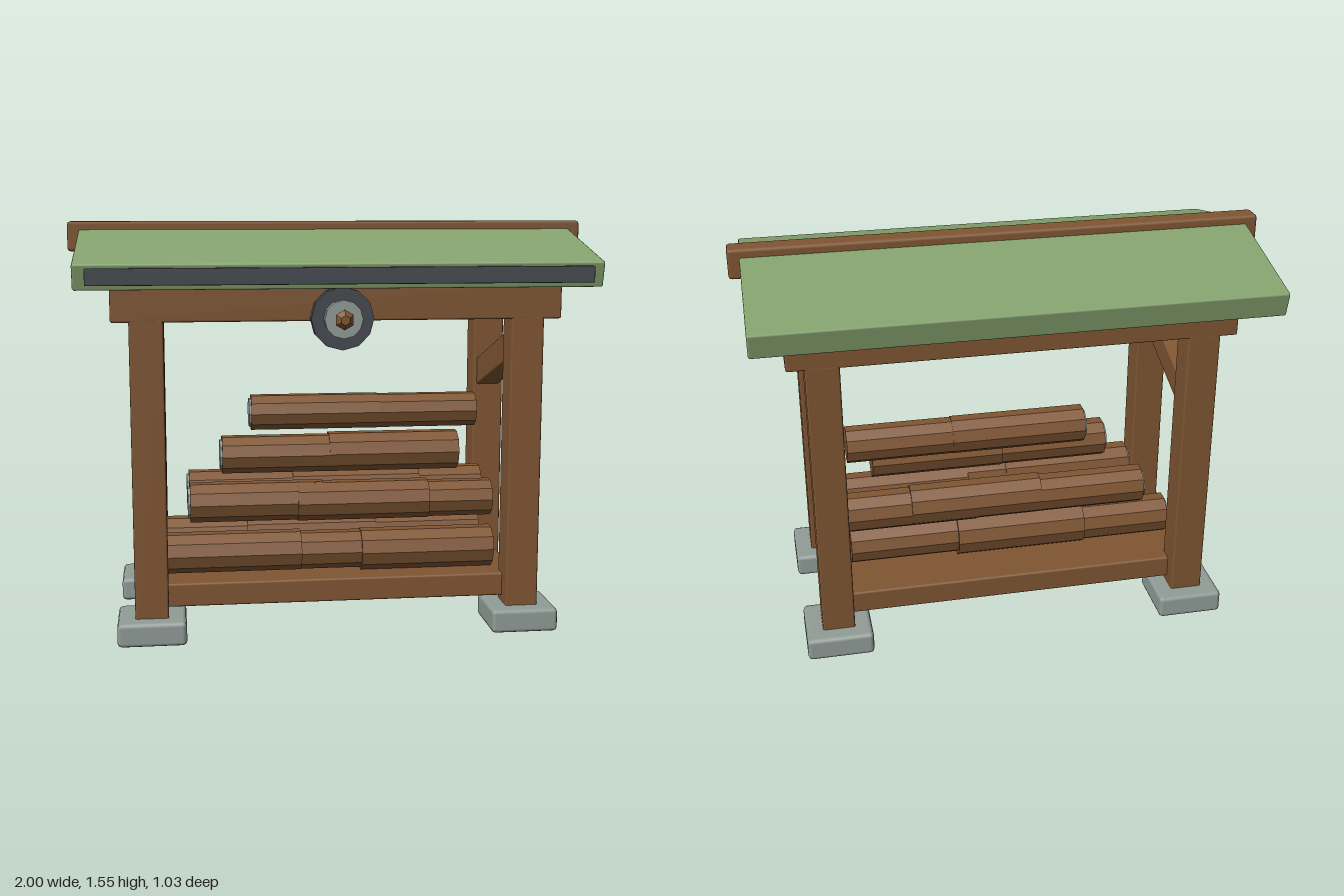
import * as THREE from 'three';
import { RoundedBoxGeometry } from 'three/addons/geometries/RoundedBoxGeometry.js';

const material = (name, color) => {
  const m = new THREE.MeshStandardMaterial({ color });
  m.name = name;
  return m;
};

export function createModel() {
  const model = new THREE.Group();
  model.name = 'firewoodShelter';
  const wood = material('brown wood', 0x805633);
  const green = material('green roof', 0x86a36f);
  const stone = material('grey stone', 0x929d98);
  const iron = material('dark iron', 0x454a50);

  const add = (name, geometry, mat, x, y, z, parent = model) => {
    const mesh = new THREE.Mesh(geometry, mat);
    mesh.name = name;
    mesh.position.set(x, y, z);
    parent.add(mesh);
    return mesh;
  };
  const box = (name, mat, [w, h, d], [x, y, z], bevel = 0.008) =>
    add(name, new RoundedBoxGeometry(w, h, d, 1, bevel), mat, x, y, z);
  // Faceted solid of revolution, with flat-shaded sides
  const faceted = (geometry) => {
    const flat = geometry.index ? geometry.toNonIndexed() : geometry;
    flat.computeVertexNormals();
    return flat;
  };

  // Posts on stone feet, with a beam across the front and back pairs
  const frontZ = 0.309, backZ = -0.292;
  for (const z of [frontZ, backZ]) {
    for (const x of [-0.706, 0.706]) {
      box('foot', stone, [0.256, 0.09, 0.256], [x, 0.048, z], 0.016);
      box('post', wood, [0.125, 1.14, 0.125], [x, 0.64, z]);
    }
    box('topBeam', wood, [1.668, 0.147, 0.125], [0, 1.272, z]);
  }

  // Shelf and sloping side braces
  box('shelf', wood, [1.42, 0.09, 0.6], [0, 0.16, 0.008]);
  for (const x of [-0.706, 0.706]) {
    box('sideBrace', wood, [0.095, 0.109, 0.6], [x, 1.01, 0.008]).rotation.x = -0.32;
  }

  // Roof panels, ridge and front gutter
  const slope = 0.236, ridgeZ = -0.01;
  for (const s of [1, -1]) {
    box('roofPanel', green, [1.914, 0.097, 0.505], [0, 1.426, ridgeZ + s * 0.246]).rotation.x = s * slope;
  }
  box('ridgeBeam', wood, [2, 0.113, 0.087], [0, 1.4995, ridgeZ], 0.012);
  box('gutter', iron, [1.824, 0.06, 0.045], [0, 1.37, 0.492], 0.004);

  // Round emblem of stacked discs hanging before the front beam
  const badge = new THREE.Group();
  badge.name = 'roundOrnament';
  badge.position.set(0, 1.212, 0);
  model.add(badge);
  const disc = (name, mat, r, z0, z1, sides) => {
    const g = new THREE.CylinderGeometry(r, r, z1 - z0, sides);
    g.rotateX(Math.PI / 2);
    add(name, faceted(g), mat, 0, 0, (z0 + z1) / 2, badge);
  };
  disc('ornamentDisc', iron, 0.115, 0.391, 0.44, 12);
  disc('ornamentRing', stone, 0.07, 0.438, 0.474, 12);
  const knob = new THREE.LatheGeometry(
    [[0, -0.022], [0.018, -0.022], [0.037, 0], [0.018, 0.022], [0, 0.022]].map(([x, y]) => new THREE.Vector2(x, y)), 6);
  knob.rotateX(Math.PI / 2);
  add('ornamentKnob', faceted(knob), wood, 0, 0, 0.493, badge);

  // Overlapping logs: each row lists [right end x, y, z, radius]
  const logLength = 0.52;
  const logs = [
    [-0.65, 0.29, 0.17, 0.079], [-0.3, 0.286, 0.165, 0.075], [0.105, 0.284, 0.17, 0.082],
    [-0.68, 0.295, -0.08, 0.08], [-0.325, 0.296, -0.08, 0.087], [0.105, 0.297, -0.075, 0.077],
    [-0.555, 0.468, 0.085, 0.079], [-0.135, 0.465, 0.09, 0.079], [0.125, 0.458, 0.068, 0.074],
    [-0.555, 0.478, -0.13, 0.076], [-0.135, 0.482, -0.13, 0.08], [0.125, 0.475, -0.128, 0.078],
    [-0.425, 0.64, 0, 0.076], [0, 0.643, -0.003, 0.08],
    [-0.3, 0.785, -0.145, 0.073], [0.105, 0.784, -0.145, 0.071],
  ];
  for (const [start, y, z, r] of logs) {
    const log = new THREE.CylinderGeometry(r, r, logLength, 10);
    log.rotateZ(Math.PI / 2);
    add('log', faceted(log), wood, start + logLength / 2, y, z);
    // Pale cut face on one end
    const cap = new THREE.CylinderGeometry(r * 0.8, r * 0.8, 0.009, 10);
    cap.rotateZ(Math.PI / 2);
    add('logCutFace', faceted(cap), stone, start - 0.004, y, z);
  }
  return model;
}
